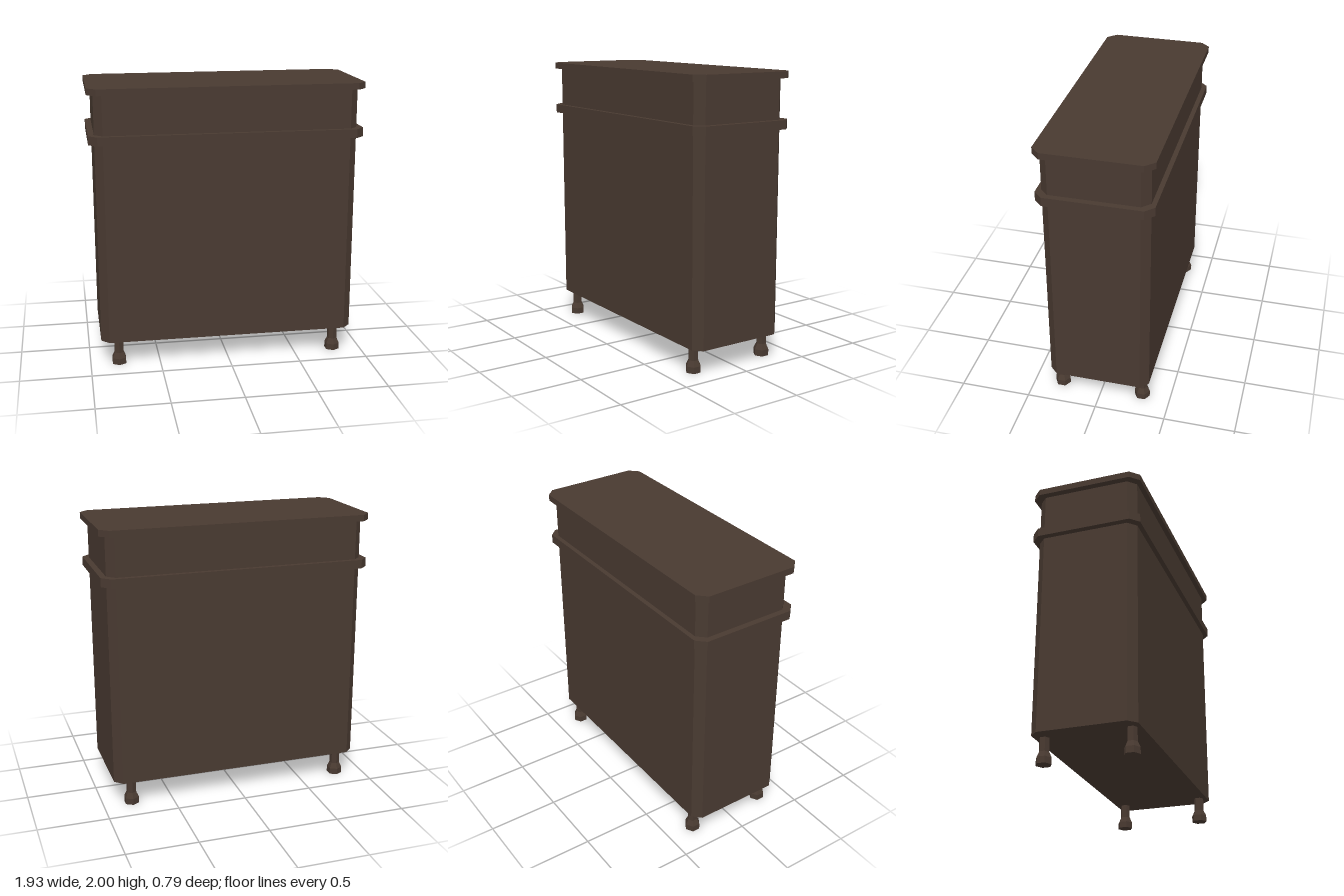
import * as THREE from 'three';

const wood = new THREE.MeshStandardMaterial({ color: 0x493a31 });
wood.name = 'dark wood';

// Upright slab with chamfered corners, spanning y0 to y1
function chamferedSlab(name, hx, hz, c, y0, y1) {
  const shape = new THREE.Shape([
    [hx, -hz + c], [hx, hz - c], [hx - c, hz], [-hx + c, hz],
    [-hx, hz - c], [-hx, -hz + c], [-hx + c, -hz], [hx - c, -hz],
  ].map(([x, y]) => new THREE.Vector2(x, y)));
  const geometry = new THREE.ExtrudeGeometry(shape, { depth: y1 - y0, bevelEnabled: false });
  geometry.rotateX(-Math.PI / 2).translate(0, y0, 0);
  const mesh = new THREE.Mesh(geometry, wood);
  mesh.name = name;
  return mesh;
}

// Six-sided leg: broad foot, tapering ankle, slim shaft
function makeLeg() {
  const profile = [[0, 0], [0.055, 0], [0.055, 0.045], [0.036, 0.085], [0.036, 0.185]]
    .map(([r, y]) => new THREE.Vector2(r, y));
  const geometry = new THREE.LatheGeometry(profile, 6).toNonIndexed();
  geometry.computeVertexNormals();
  return new THREE.Mesh(geometry, wood);
}

export function createModel() {
  const cabinet = new THREE.Group();
  cabinet.name = 'cabinet';

  // Case, waist moulding and top board
  cabinet.add(
    chamferedSlab('body', 0.92, 0.36, 0.056, 0.18, 1.957),
    chamferedSlab('waistMoulding', 0.962, 0.393, 0.06, 1.616, 1.678),
    chamferedSlab('topBoard', 0.965, 0.395, 0.062, 1.955, 2),
  );

  // Legs under the four corners
  for (const [side, x] of [['Left', 0.795], ['Right', -0.795]]) {
    for (const [end, z] of [['front', 0.297], ['back', -0.297]]) {
      const leg = makeLeg();
      leg.name = `${end}${side}Leg`;
      leg.position.set(x, 0, z);
      cabinet.add(leg);
    }
  }
  return cabinet;
}
